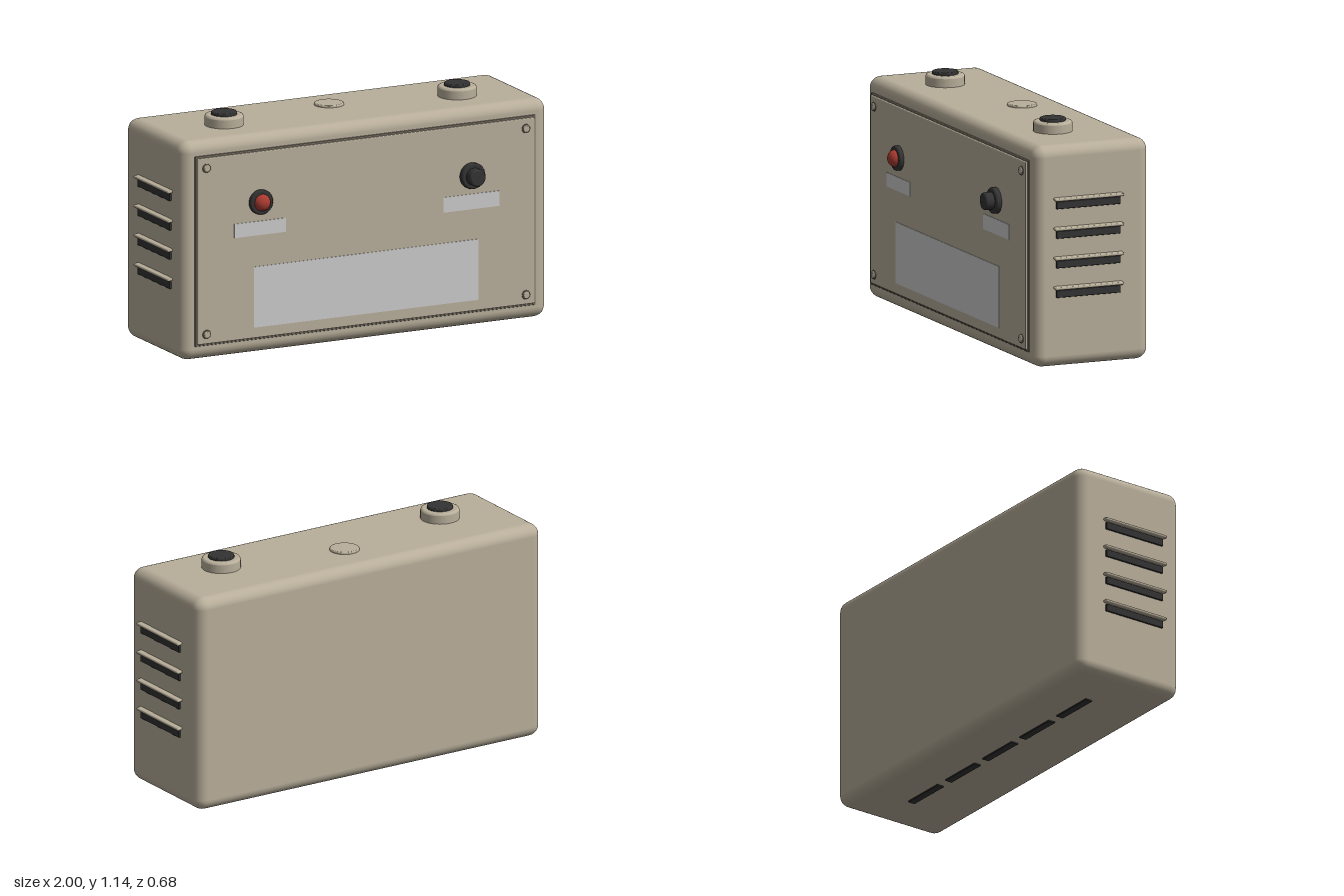
import * as THREE from 'three';
import { RoundedBoxGeometry } from 'three/addons/geometries/RoundedBoxGeometry.js';

const paint = (color) => new THREE.MeshStandardMaterial({ color });

export function createModel() {
  const beige = paint(0xb8ae9a), seam = paint(0x736c5f), black = paint(0x333333);
  const red = paint(0xa83a30), grey = paint(0xcccccc);
  const model = new THREE.Group();

  const add = (name, geometry, material, x, y, z, parent = model) => {
    const mesh = new THREE.Mesh(geometry, material);
    mesh.name = name;
    mesh.position.set(x, y, z);
    parent.add(mesh);
    return mesh;
  };
  const box = (w, h, d, r, segments = 2) => new RoundedBoxGeometry(w, h, d, segments, r);

  // Turned disc standing on y = 0 with a bevelled upper rim
  const disc = (r, h, bevel) => {
    const points = [[0, 0], [r, 0], [r, 0], [r, h - bevel], [r, h - bevel],
      [r - bevel * 0.3, h - bevel * 0.3], [r - bevel, h], [r - bevel, h], [0, h]];
    return new THREE.LatheGeometry(points.map(([x, y]) => new THREE.Vector2(x, y)), 32);
  };
  const facingFront = (geometry) => geometry.rotateX(Math.PI / 2);

  // Case
  add('case', box(1.95, 1.066, 0.594, 0.055, 4), beige, 0, 0.542, -0.042);

  // Front panel with a dark gasket behind its edge
  add('panelGasket', box(1.814, 0.926, 0.02, 0.004), seam, 0, 0.541, 0.251);
  add('frontPanel', box(1.794, 0.906, 0.03, 0.005), beige, 0, 0.541, 0.255);
  for (const x of [-0.85, 0.85]) {
    for (const y of [0.135, 0.945]) {
      add('screwWasher', facingFront(disc(0.022, 0.006, 0.001)), seam, x, y, 0.267);
      add('screw', facingFront(disc(0.018, 0.012, 0.004)), beige, x, y, 0.269);
    }
  }

  // Blank label plates
  for (const [x, y, w, h] of [[-0.566, 0.622, 0.274, 0.068], [0.56, 0.622, 0.298, 0.074],
    [-0.002, 0.288, 1.194, 0.296]]) {
    add('labelPlate', new THREE.BoxGeometry(w, h, 0.003), grey, x, y, 0.271);
  }

  // Indicator lamp
  add('lampBezel', facingFront(disc(0.06, 0.024, 0.006)), black, -0.565, 0.75, 0.268);
  const dome = new THREE.SphereGeometry(0.041, 28, 10, 0, Math.PI * 2, 0, Math.PI / 2);
  add('lampLens', facingFront(dome.scale(1, 0.85, 1)), red, -0.565, 0.75, 0.291);

  // Rotary knob
  add('knobBase', facingFront(disc(0.063, 0.029, 0.007)), black, 0.56, 0.75, 0.268);
  add('knob', facingFront(disc(0.042, 0.044, 0.008)), black, 0.56, 0.75, 0.296);

  // Two top push buttons in collars, and a low cap between them
  for (const x of [-0.62, 0.62]) {
    add('buttonCollar', disc(0.093, 0.055, 0.01), beige, x, 1.071, 0.005);
    add('topButton', disc(0.062, 0.02, 0.005), black, x, 1.12, 0.005);
  }
  add('topCap', disc(0.071, 0.015, 0.005), beige, 0, 1.071, -0.115);

  // Hooded vent slots on both sides
  for (const side of [-1, 1]) {
    const vents = new THREE.Group();
    vents.name = side > 0 ? 'leftVents' : 'rightVents';
    model.add(vents);
    for (let i = 0; i < 4; i++) {
      const y = 0.79 - i * 0.1425;
      add('ventSlot', box(0.03, 0.036, 0.332, 0.004), black, side * 0.97, y, -0.018, vents);
      const hood = add('ventHood', box(0.044, 0.014, 0.356, 0.006), beige,
        side * 0.978, y + 0.03, -0.018, vents);
      hood.rotation.z = side * -0.12;
    }
  }

  // Slots under the case
  for (let i = -2; i <= 2; i++) {
    add('bottomSlot', box(0.235, 0.02, 0.038, 0.003), black, i * 0.297, 0.012, -0.088);
  }

  return model;
}
